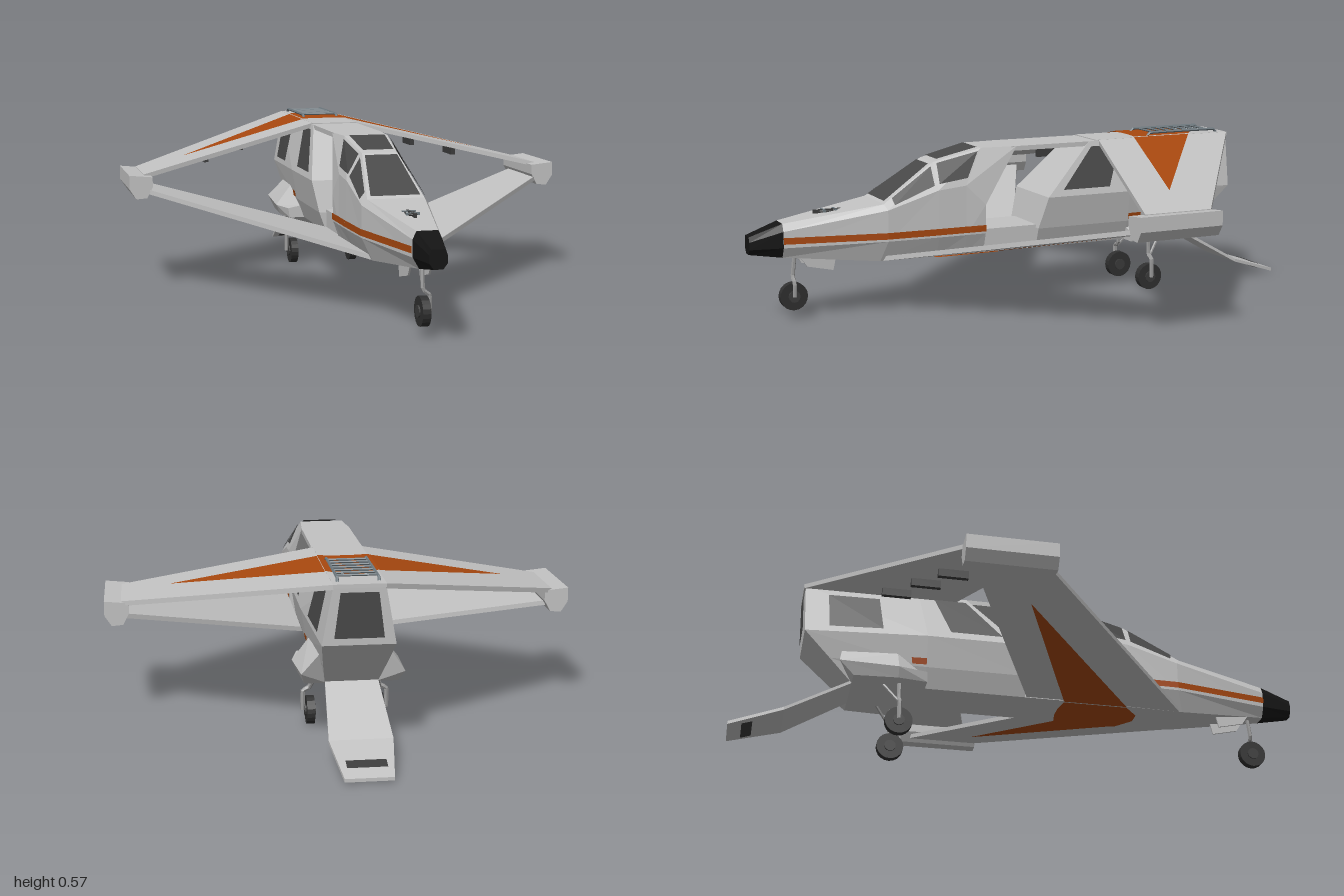
import * as THREE from 'three';

const V = (x, y, z) => new THREE.Vector3(x, y, z);
const mat = (name, color, side = THREE.FrontSide) => {
  const m = new THREE.MeshStandardMaterial({ color, side, flatShading: true });
  m.name = name;
  return m;
};

// Flat-faced geometry from a list of corner points, three per triangle
function fromTriangles(tris) {
  const g = new THREE.BufferGeometry().setFromPoints(tris);
  g.computeVertexNormals();
  return g;
}

// Skin over closed loops of points, with both ends capped; faces always point outward
function loft(loops) {
  const n = loops[0].length, t = [];
  for (let k = 0; k + 1 < loops.length; k++) {
    for (let i = 0; i < n; i++) {
      const j = (i + 1) % n;
      const a = loops[k][i], b = loops[k + 1][i], c = loops[k + 1][j], d = loops[k][j];
      if (i < n / 2) t.push(a, b, c, a, c, d);
      else t.push(a, b, d, b, c, d);
    }
  }
  const cap = (l, flip) => {
    for (let i = 0; i < n / 2 - 1; i++) {
      const [a, b, c, d] = [l[i], l[i + 1], l[n - 2 - i], l[n - 1 - i]];
      t.push(...(flip ? [a, c, b, a, d, c] : [a, b, c, a, c, d]));
    }
  };
  cap(loops[0], false);
  cap(loops[loops.length - 1], true);
  let volume = 0;
  for (let i = 0; i < t.length; i += 3) volume += t[i].dot(t[i + 1].clone().cross(t[i + 2]));
  if (volume < 0) for (let i = 0; i < t.length; i += 3) [t[i + 1], t[i + 2]] = [t[i + 2], t[i + 1]];
  return fromTriangles(t);
}

// Thin painted face lying just off the surface, away from a reference point
function decal(pts, ref, lift = 0.005) {
  const mid = pts.reduce((s, p) => s.add(p), V(0, 0, 0)).divideScalar(pts.length);
  const r = ref || V(0, 0.36, mid.z * 0.8);
  const nrm = V(0, 0, 0);
  for (let i = 1; i + 1 < pts.length; i++) {
    nrm.add(pts[i].clone().sub(pts[0]).cross(pts[i + 1].clone().sub(pts[0])));
  }
  nrm.normalize();
  const out = nrm.dot(mid.sub(r)) > 0;
  if (!out) nrm.negate();
  const p = pts.map(q => q.clone().addScaledVector(nrm, lift)), t = [];
  for (let i = 1; i + 1 < p.length; i++) t.push(p[0], ...(out ? [p[i], p[i + 1]] : [p[i + 1], p[i]]));
  return fromTriangles(t);
}

// Part of a four-cornered face, cut by fractions along and across it
function inset([a, b, c, d], u0, u1, v0, v1) {
  const at = (u, v) => a.clone().lerp(b, u).lerp(d.clone().lerp(c, u), v);
  return [at(u0, v0), at(u1, v0), at(u1, v1), at(u0, v1)];
}

function mirrored(geo) {
  const g = geo.index ? geo.toNonIndexed() : geo.clone();
  g.scale(-1, 1, 1);
  for (const key of ['position', 'normal']) {
    const a = g.attributes[key];
    for (let i = 0; i < a.count; i += 3) {
      const p = V().fromBufferAttribute(a, i + 1), q = V().fromBufferAttribute(a, i + 2);
      a.setXYZ(i + 1, q.x, q.y, q.z);
      a.setXYZ(i + 2, p.x, p.y, p.z);
    }
  }
  return g;
}

export function createModel() {
  const root = new THREE.Group();
  root.name = 'boxWingAircraft';
  const D = THREE.DoubleSide;
  const hull = mat('hull grey', 0xc2c2c2), orange = mat('burnt orange', 0xa8480f, D);
  const glass = mat('dark glass', 0x484848, D), black = mat('nose black', 0x141414);
  const tyre = mat('tyre', 0x303030), metal = mat('strut metal', 0x9a9a9a);
  const steel = mat('ladder steel', 0x6f7a80), dark = mat('dark fittings', 0x3c3c3c, D);
  const add = (name, geo, m) => {
    const mesh = new THREE.Mesh(geo, m);
    mesh.name = name;
    root.add(mesh);
  };
  const both = (name, geo, m) => {
    add(name + 'Left', geo, m);
    add(name + 'Right', mirrored(geo), m);
  };
  const tube = (pts, r) => new THREE.TubeGeometry(
    new THREE.CatmullRomCurve3(pts.map(p => V(...p)), false, 'catmullrom', 0.2), 16, r, 6);

  // Fuselage sections: bottom, waist, shoulder, top on the left side as [x, y, z]
  const sec = rows => rows.map(r => V(...r));
  const ring = s => [...s, ...s.map(p => V(-p.x, p.y, p.z)).reverse()];
  const tip = sec([[.015, .237, 1], [.028, .255, 1], [.028, .28, 1], [.022, .297, 1]]);
  const front = [
    sec([[.025, .22, .89], [.045, .255, .89], [.046, .31, .89], [.034, .335, .89]]),
    sec([[.08, .19, .57], [.11, .26, .55], [.11, .365, .55], [.095, .385, .56]]),
    sec([[.085, .19, .37], [.115, .26, .37], [.112, .42, .37], [.06, .51, .37]]),
    sec([[.088, .19, .27], [.115, .26, .27], [.112, .43, .27], [.075, .55, .2]]),
    sec([[.09, .19, .2], [.115, .26, .2], [.118, .36, .2], [.085, .55, .07]])];
  const rear = [
    sec([[.09, .19, 0], [.115, .26, 0], [.135, .37, -.03], [.085, .55, -.21]]),
    sec([[.09, .19, -.35], [.115, .26, -.35], [.135, .37, -.35], [.085, .55, -.38]]),
    sec([[.085, .19, -.6], [.1, .27, -.68], [.115, .36, -.77], [.08, .55, -.775]])];
  add('noseCone', loft([tip, front[0]].map(ring)), black);
  add('cockpitHull', loft(front.map(ring)), hull);
  add('rearCabin', loft(rear.map(ring)), hull);
  add('cabinFloor', new THREE.BoxGeometry(.18, .08, .24).translate(0, .23, .1), hull);
  add('cabinRoof', new THREE.BoxGeometry(.17, .016, .34).translate(0, .542, -.08), hull);

  // Windows, laid on the faces between neighbouring sections
  const side = (s, t, i) => [s[i], t[i], t[i + 1], s[i + 1]];
  const across = (s, t, i) => [s[i], t[i], V(-t[i].x, t[i].y, t[i].z), V(-s[i].x, s[i].y, s[i].z)];
  add('windscreen', decal(inset(across(front[1], front[2], 3), .04, .93, .06, .94)), glass);
  add('roofWindow', decal(inset(across(front[2], front[3], 3), .1, .95, .08, .92)), glass);
  both('cockpitSideWindowFront', decal(inset(side(front[1], front[2], 2), .15, .94, .2, .92)), glass);
  both('cockpitSideWindowRear', decal(inset(side(front[2], front[3], 2), .06, .95, .2, .92)), glass);
  both('cabinWindow', decal(inset(side(rear[0], rear[1], 2), .12, .72, .12, .9)), glass);
  both('aftWindow', decal(inset(side(rear[1], rear[2], 2), .36, .8, .1, .8)), glass);
  const last = rear[2];
  add('tailWindow', decal(inset(across(last, last, 2).map((p, i) =>
    i % 3 ? V(Math.sign(i - 1.5) * -last[3].x, last[3].y, last[3].z) : p), .12, .88, .15, .85)), glass);

  // Side stripe at constant height
  const atY = (s, y) => s[1].clone().lerp(s[2], (y - s[1].y) / (s[2].y - s[1].y));
  const stripe = (s, t, u1) => decal(inset(
    [atY(s, .268), atY(t, .268), atY(t, .29), atY(s, .29)], 0, u1, 0, 1), null, .004);
  for (let i = 0; i < 4; i++) both('sideStripe' + i, stripe(front[i], front[i + 1], 1), orange);
  both('aftStripe', stripe(rear[1], rear[2], .15), orange);

  // Wings: thin plates from root to tip; upper slopes down, lower slopes up
  const plate = (r, t, h) => loft([r, t].map(([x, y, z0, z1]) =>
    [V(x, y, z0), V(x, y, z1), V(x, y - h, z1), V(x, y - h, z0)]));
  both('upperWing', plate([.08, .553, -.25, -.78], [.72, .405, -.08, -.32], .016), hull);
  both('lowerWing', plate([.08, .206, .56, .01], [.72, .36, -.05, -.3], .016), hull);
  add('upperWingCentre', new THREE.BoxGeometry(.164, .012, .54).translate(0, .547, -.51), hull);

  // Chevrons on the upper wing top and the lower wing underside
  const upY = x => .553 - (x - .08) * .2313, lowY = x => .19 + (x - .08) * .2406;
  both('upperChevron', decal([V(.085, upY(.085), -.614), V(.085, upY(.085), -.39), V(.56, upY(.56), -.26)],
    V(.2, 0, -.4), .003), orange);
  const middle = (y, a, b, c, d) => [[-.085, a], [-.025, b], [.025, b], [.085, a],
    [.085, c], [.025, d], [-.025, d], [-.085, c]].map(([x, z]) => V(x, y, z));
  add('upperChevronCentre', decal(middle(.553, -.614, -.665, -.39, -.4), null, .004), orange);
  both('lowerChevron', decal([V(.085, lowY(.085), .365), V(.085, lowY(.085), .14), V(.56, lowY(.56), -.08)],
    V(.2, 1, 0), .003), orange);
  add('lowerChevronCentre', decal(middle(.19, .365, .415, .14, .13), null, .004), orange);

  // Wingtip pods joining both wings
  const podOutline = [[.695, .4], [.775, .408], [.775, .36], [.752, .325], [.715, .328], [.695, .365]];
  both('wingtipPod', loft([-.035, -.33].map(z => podOutline.map(([x, y]) => V(x, y, z)))), hull);

  // Racks beneath the upper wing
  [[.18, -.47], [.33, -.39], [.47, -.32]].forEach(([x, z], i) =>
    both('wingRack' + i, new THREE.BoxGeometry(.016, .034, .1).translate(x, upY(x) - .028, z), dark));

  // Roof ladder
  both('ladderRail', tube([[.064, .552, -.455], [.064, .564, -.47], [.064, .564, -.73], [.064, .552, -.745]], .005), steel);
  for (let i = 0; i < 7; i++) {
    add('ladderRung' + i, new THREE.CylinderGeometry(.004, .004, .128, 6)
      .rotateZ(Math.PI / 2).translate(0, .564, -.49 - i * .036), steel);
  }

  // Loading ramp, lowered at the tail
  const rampRow = (w, y, z) => [V(w, y, z), V(w, y - .011, z), V(-w, y - .011, z), V(-w, y, z)];
  add('loadingRamp', loft([rampRow(.085, .2, -.6), rampRow(.1, .075, -.82), rampRow(.075, .018, -1)]), hull);
  const grip = h => [[-.062, -.92], [.062, -.92], [.062, -.955], [-.062, -.955]]
    .map(([x, z]) => V(x, .075 + (z + .82) * .3167 - h, z));
  add('rampGripTop', decal(grip(0), V(0, -1, -.9), .003), dark);
  add('rampGripUnder', decal(grip(.011), V(0, 1, -.9), .003), dark);

  // Landing gear fairings on the lower flanks
  both('gearFairing', loft([
    [[.08, .19, -.35], [.145, .19, -.35], [.15, .225, -.35], [.1, .235, -.35]],
    [[.08, .19, -.45], [.16, .19, -.45], [.175, .225, -.45], [.12, .298, -.45]],
    [[.08, .19, -.6], [.15, .19, -.6], [.165, .235, -.65], [.105, .298, -.64]]].map(sec)), hull);

  // Wheels and struts
  const wheel = (x, y, z) => [
    new THREE.CylinderGeometry(.047, .047, .026, 20).rotateZ(Math.PI / 2).translate(x, y, z),
    new THREE.CylinderGeometry(.02, .02, .036, 12).rotateZ(Math.PI / 2).translate(x, y, z)];
  const [noseTyre, noseHub] = wheel(0, .082, .85);
  add('noseTyre', noseTyre, tyre);
  add('noseHub', noseHub, dark);
  add('noseStrut', tube([[.022, .082, .85], [.022, .13, .85], [0, .15, .85], [0, .235, .84]], .007), metal);
  const [mainTyre, mainHub] = wheel(.115, .05, -.44);
  both('mainTyre', mainTyre, tyre);
  both('mainHub', mainHub, dark);
  both('mainStrut', tube([[.138, .05, -.44], [.138, .115, -.44], [.115, .13, -.44], [.11, .21, -.44]], .008), metal);
  both('mainBrace', tube([[.118, .12, -.44], [.09, .2, -.5]], .005), metal);
  both('noseGearDoor', loft([.03, .036].map(x =>
    [V(x, .215, .83), V(x, .185, .81), V(x, .165, .72), V(x, .21, .71)])), hull);

  // Small fitting on the nose
  add('noseFittingRing', new THREE.TorusGeometry(.02, .004, 6, 16)
    .rotateX(Math.PI / 2).scale(.8, 1, 1.6).translate(0, .361, .72), dark);
  add('noseFittingSpine', new THREE.BoxGeometry(.008, .012, .11).translate(0, .361, .72), dark);
  for (const z of [.7, .74]) {
    add('noseFittingBar', new THREE.BoxGeometry(.044, .008, .008).translate(0, .363, z), steel);
  }
  return root;
}
